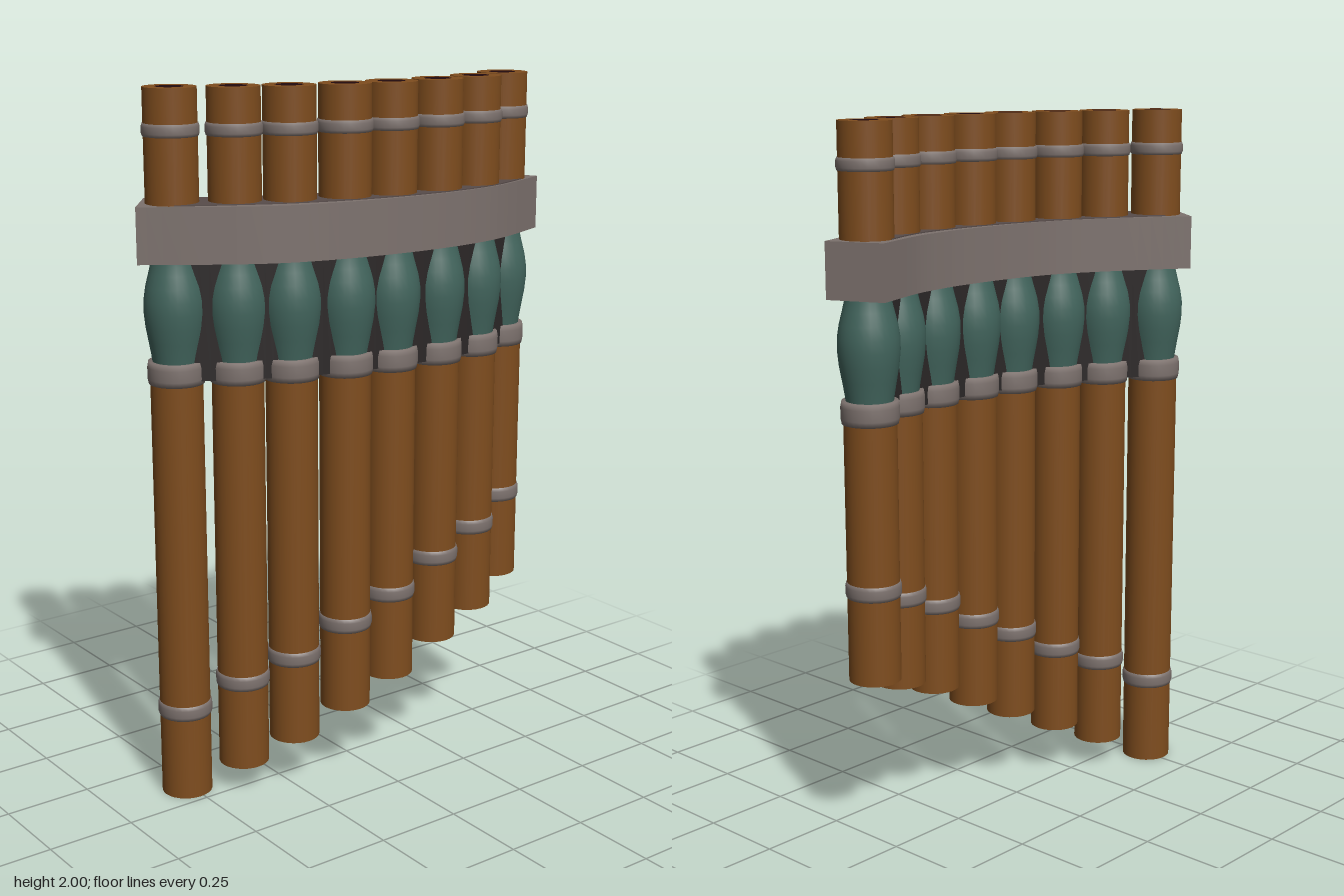
import * as THREE from 'three';

const mat = (name, color) => Object.assign(new THREE.MeshStandardMaterial({ color }), { name });

export function createModel() {
  const cane = mat('cane brown', 0x7f4d1e);
  const grey = mat('warm grey', 0x7d726e);
  const teal = mat('teal wrap', 0x42655d);
  const shade = mat('dark grey inlay', 0x584c4a);
  const dark = mat('dark filler', 0x2b2727);
  const bore = mat('bore dark', 0x220a0d);
  const model = new THREE.Group();
  model.name = 'panFlute';

  const add = (parent, name, geometry, material, y = 0) => {
    const mesh = new THREE.Mesh(geometry, material);
    mesh.name = name;
    mesh.position.y = y;
    parent.add(mesh);
    return mesh;
  };
  const lathe = pts => new THREE.LatheGeometry(pts.map(p => new THREE.Vector2(...p)), 28);

  // Rounded cord ring around a pipe, centred on y = 0; inner is the radius it closes to
  const ring = (h, r, inner = 0.068) => lathe([
    [inner, -h / 2], [r - 0.003, -h / 2], [r, -h / 4], [r, h / 4], [r - 0.003, h / 2], [inner, h / 2],
  ]);

  // Pipes: x, z, bottom height, lower ring height
  const R = 0.072;
  const pipes = [
    [-0.51, -0.088, 0, 0.26], [-0.363, -0.01, 0.08, 0.34],
    [-0.228, 0.052, 0.145, 0.40], [-0.077, 0.095, 0.22, 0.48],
    [0.063, 0.117, 0.29, 0.55], [0.218, 0.124, 0.37, 0.63],
    [0.37, 0.107, 0.43, 0.69], [0.515, 0.055, 0.49, 0.75],
  ];
  pipes.forEach(([x, z, bottom, ringY], i) => {
    const pipe = new THREE.Group();
    pipe.name = `pipe${i + 1}`;
    pipe.position.set(x, 0, z);
    model.add(pipe);
    // Tube below the wrap and tube above it
    for (const [name, y0, y1] of [['lowerTube', bottom, 1.24], ['upperTube', 1.62, 2]]) {
      add(pipe, name, new THREE.CylinderGeometry(R, R, y1 - y0, 28, 1, true), cane, (y0 + y1) / 2);
    }
    // End rims with the bore opening, top and bottom
    for (const [y, turn, r] of [[2, -1, 0.038], [bottom, 1, 0.034]]) {
      add(pipe, 'rim', new THREE.RingGeometry(r, R, 28).rotateX(turn * Math.PI / 2), cane, y);
      add(pipe, 'boreOpening', new THREE.CircleGeometry(r, 28).rotateX(turn * Math.PI / 2), bore, y);
    }
    add(pipe, 'lowerRing', ring(0.042, 0.077), grey, ringY);
    add(pipe, 'middleRing', ring(0.062, 0.079, 0.055), grey, 1.24);
    add(pipe, 'upperRing', ring(0.034, 0.077), grey, 1.89);
    // Swelling wrap below the frame, narrow at both ends
    add(pipe, 'wrap', lathe([
      [0.063, 1.26], [0.067, 1.29], [0.073, 1.325], [0.08, 1.365], [0.084, 1.405],
      [0.0835, 1.44], [0.078, 1.475], [0.069, 1.51], [0.063, 1.535], [0.061, 1.55],
    ]), teal);
  });

  // Curved slab from a front and a back outline (x, z)
  const slab = (front, back, y0, y1) => {
    const v = p => new THREE.Vector2(p[0], -p[1]);
    const shape = new THREE.Shape();
    const b = [...back].reverse().map(v);
    shape.moveTo(front[0][0], -front[0][1]);
    shape.splineThru(front.slice(1).map(v));
    shape.lineTo(b[0].x, b[0].y);
    shape.splineThru(b.slice(1));
    return new THREE.ExtrudeGeometry(shape, { depth: y1 - y0, bevelEnabled: false, curveSegments: 6 })
      .rotateX(-Math.PI / 2).translate(0, y0, 0);
  };

  // Frame that clasps all the pipes
  const front = [[-0.63, -0.075], [-0.385, 0.09], [-0.22, 0.158], [-0.02, 0.195],
    [0.17, 0.206], [0.33, 0.194], [0.455, 0.163], [0.625, 0.095]];
  const back = [[-0.525, -0.21], [-0.335, -0.09], [-0.165, -0.01], [0, 0.022],
    [0.17, 0.03], [0.28, 0.022], [0.39, 0.002], [0.56, -0.057]];
  add(model, 'frame', slab(front, back, 1.545, 1.697), grey);

  // Strips following the row of pipes
  const offset = d => pipes.map(([x, z], i) => {
    const a = pipes[Math.max(i - 1, 0)], b = pipes[Math.min(i + 1, pipes.length - 1)];
    const l = Math.hypot(b[0] - a[0], b[1] - a[1]);
    return [x - d * (b[1] - a[1]) / l, z + d * (b[0] - a[0]) / l];
  });
  add(model, 'frameTopInlay', slab(offset(0.072), offset(-0.072), 1.694, 1.7), shade);
  add(model, 'wrapFiller', slab(offset(0.045), offset(-0.045), 1.22, 1.55), dark);
  return model;
}
